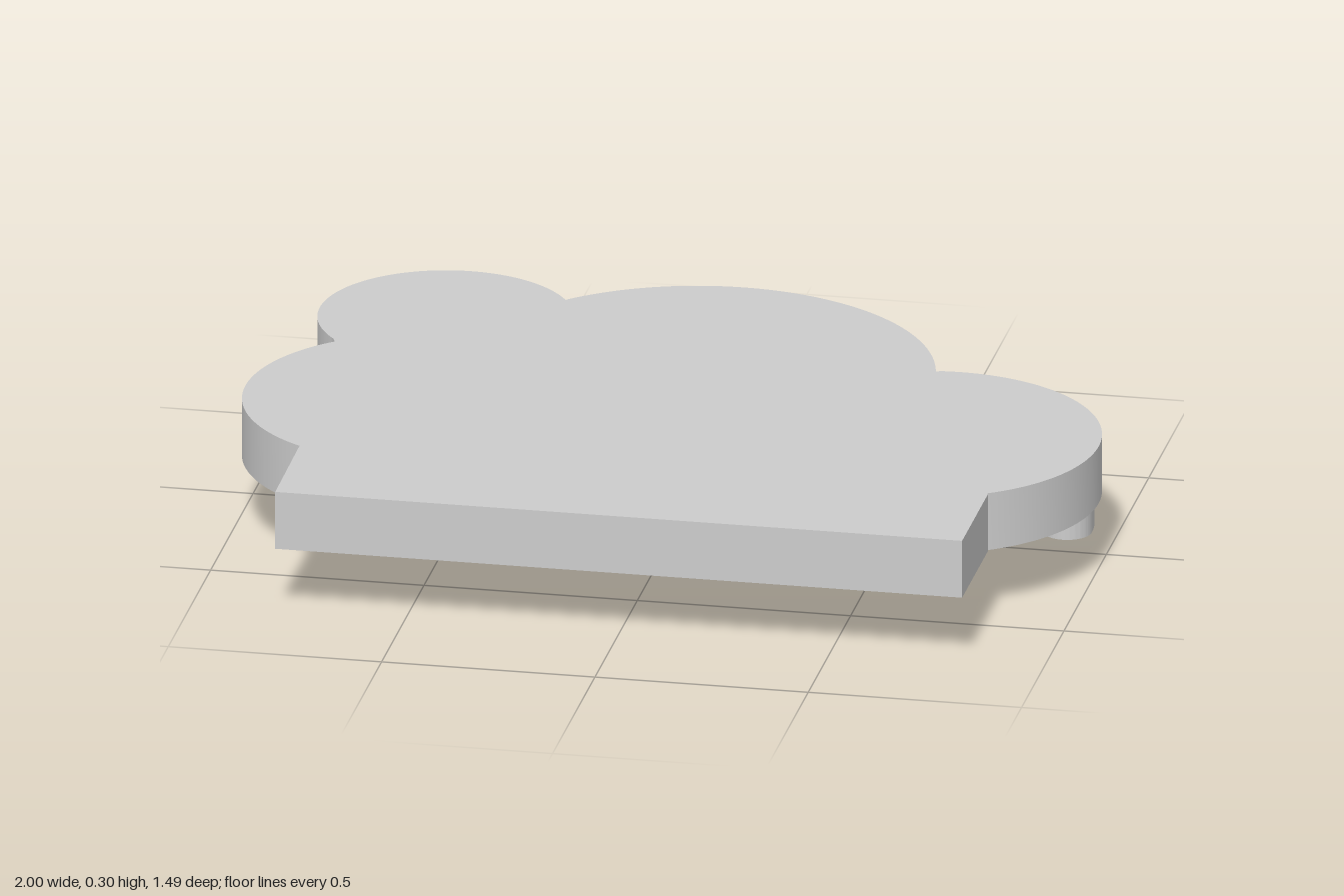
import * as THREE from 'three';
import { toCreasedNormals } from 'three/addons/utils/BufferGeometryUtils.js';

const material = new THREE.MeshStandardMaterial({ color: 0xcccccc });

// Outlines are drawn in plan as (x, -z), counter-clockwise.
// Adds an arc about a centre, running between the directions of two points.
function arc(shape, [cx, cy], r, from, to, clockwise = false) {
  const angle = ([x, y]) => Math.atan2(y - cy, x - cx);
  shape.absarc(cx, cy, r, angle(from), angle(to), clockwise);
}

function lines(shape, ...points) {
  points.forEach(([x, y]) => shape.lineTo(x, y));
}

// Lays an outline flat and thickens it from y0 to y1.
function slab(name, shape, y0, y1) {
  const extruded = new THREE.ExtrudeGeometry(shape, {
    depth: y1 - y0, bevelEnabled: false, curveSegments: 40,
  });
  extruded.rotateX(-Math.PI / 2).translate(0, y0, 0);
  const mesh = new THREE.Mesh(toCreasedNormals(extruded, 0.5), material);
  mesh.name = name;
  return mesh;
}

function pin(name, x, z, r, y0, y1) {
  const mesh = new THREE.Mesh(new THREE.CylinderGeometry(r, r, y1 - y0, 40), material);
  mesh.position.set(x, (y0 + y1) / 2, z);
  mesh.name = name;
  return mesh;
}

const HUB = [0, 0.285];
const HUB_R = 0.187;

// Cloud-shaped plate: straight base with four round lobes
function cloudOutline() {
  const s = new THREE.Shape();
  s.moveTo(-0.8, -0.745);
  lines(s, [0.81, -0.745], [0.81, -0.44]);
  arc(s, [0.595, -0.09], 0.405, [0.81, -0.44], [0.55, 0.31]);
  arc(s, [0, 0.2], 0.55, [0.55, 0.31], [-0.38, 0.59]);
  arc(s, [-0.635, 0.435], 0.295, [-0.38, 0.59], [-0.865, 0.24]);
  arc(s, [-0.583, -0.09], 0.417, [-0.865, 0.24], [-0.8, -0.44]);
  s.closePath();
  return s;
}

// Lever with a round hub, back tab and slanted round-ended finger
function fingerOutline() {
  const s = new THREE.Shape();
  s.moveTo(0.077, 0.115);
  arc(s, HUB, HUB_R, [0.077, 0.115], [0.06, 0.46]);
  lines(s, [0.06, 0.54], [-0.04, 0.54], [-0.04, 0.467]);
  arc(s, HUB, HUB_R, [-0.04, 0.467], [-0.15, 0.175]);
  s.lineTo(-0.165, 0);
  s.quadraticCurveTo(-0.175, -0.1, -0.114, -0.156);
  s.lineTo(-0.252, -0.382);
  arc(s, [-0.19, -0.42], 0.073, [-0.252, -0.382], [-0.128, -0.458]);
  s.lineTo(0.072, -0.128);
  arc(s, [0.01, -0.09], 0.073, [0.072, -0.128], [0.07, -0.05]);
  s.closePath();
  return s;
}

// Lever with a round hub, short neck and half-ring hook
function hookOutline() {
  const ring = [0.585, 0.13];
  const s = new THREE.Shape();
  s.moveTo(0.174, 0.353);
  arc(s, HUB, HUB_R, [0.174, 0.353], [0.148, 0.171]);
  s.lineTo(0.235, 0.17);
  arc(s, [0.305, 0.145], 0.075, [0.235, 0.17], [0.375, 0.16]);
  arc(s, ring, 0.24, [0.36, 0.2], [0.825, 0.13], true);
  arc(s, [0.8825, 0.13], 0.0575, [0.825, 0.13], [0.94, 0.13]);
  arc(s, ring, 0.355, [0.94, 0.13], [0.32, 0.36]);
  s.closePath();
  return s;
}

export function createModel() {
  const model = new THREE.Group();
  model.name = 'cloudPlateWithLevers';
  model.add(
    slab('cloudPlate', cloudOutline(), 0.16, 0.3),
    slab('fingerLever', fingerOutline(), 0.083, 0.15),
    slab('hookLever', hookOutline(), 0, 0.073),
    pin('shaft', 0, -0.285, 0.06, 0.06, 0.17),
    pin('stopPin', 0.02, -0.54, 0.035, 0.144, 0.17),
  );
  return model;
}
